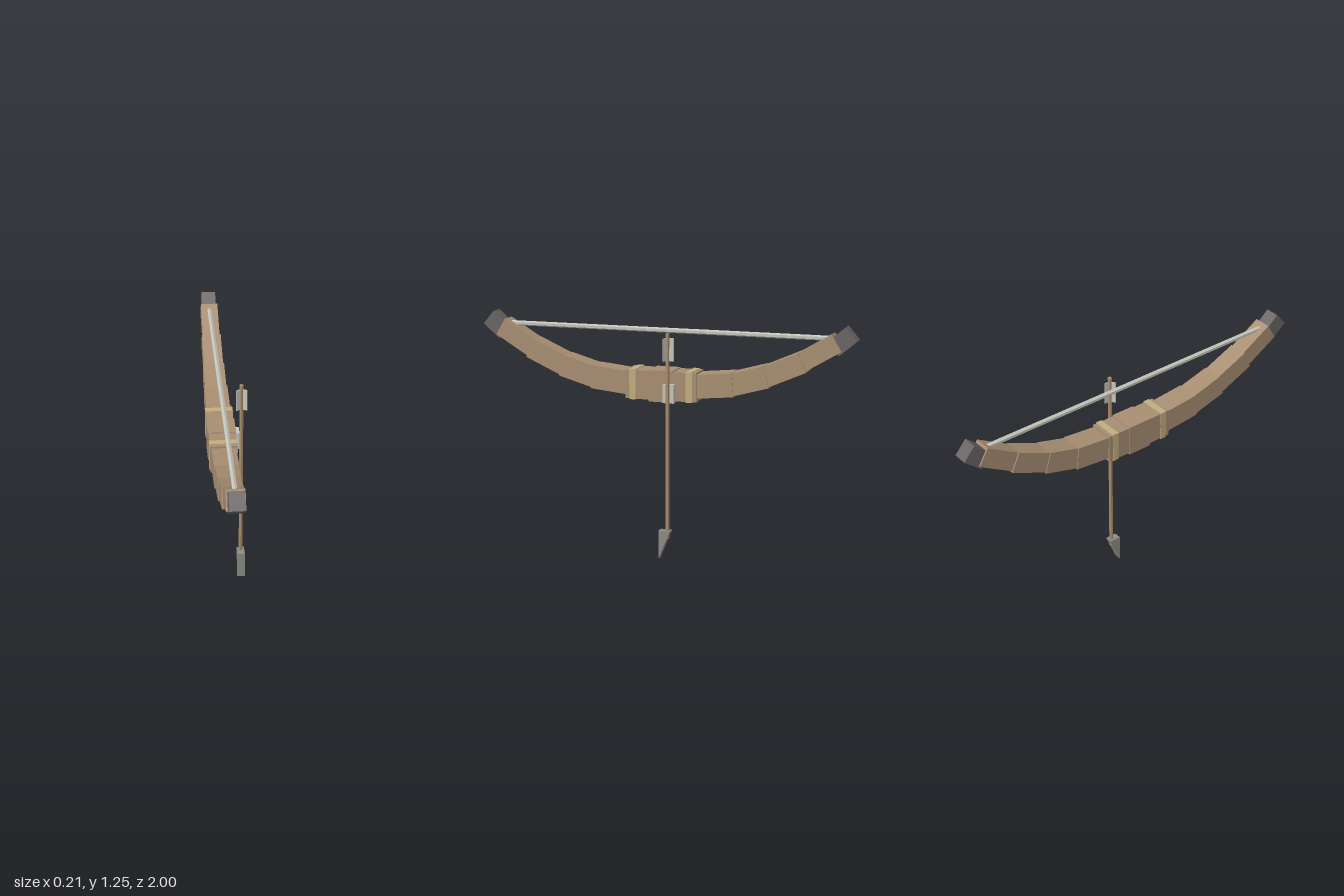
import * as THREE from 'three';

const flat = (name, color) => {
  const m = new THREE.MeshStandardMaterial({ color });
  m.name = name;
  m.flatShading = true;
  return m;
};

export function createModel() {
  const wood = flat('wood', 0xa88e72);
  const shaftWood = flat('shaft wood', 0xa68a68);
  const binding = flat('binding', 0xc0ae7e);
  const horn = flat('dark horn', 0x686463);
  const pale = flat('pale grey', 0xc4c5bb);
  const steel = flat('steel', 0x8b8a84);

  const model = new THREE.Group();
  model.name = 'bowAndArrow';
  const add = (parent, name, geometry, material, x = 0, y = 0, z = 0) => {
    const mesh = new THREE.Mesh(geometry, material);
    mesh.name = name;
    mesh.position.set(x, y, z);
    parent.add(mesh);
    return mesh;
  };
  const box = (w, h, d) => new THREE.BoxGeometry(w, h, d);

  // Bow, lying along z
  const bow = new THREE.Group();
  bow.name = 'bow';
  bow.position.x = -0.034;
  model.add(bow);
  add(bow, 'grip', box(0.142, 0.163, 0.13), wood, 0, 0.904, 0);

  // Each limb block runs between two points [z, y] of the bow's curve
  const blocks = [
    ['gripEnd', [0, 0.904], [0.19, 0.908], 0.15, 0.134, wood],
    ['limbInner', [0.15, 0.908], [0.378, 0.931], 0.122, 0.122, wood],
    ['limbMiddle', [0.37, 0.93], [0.55, 0.981], 0.114, 0.112, wood],
    ['limbOuter', [0.54, 0.978], [0.732, 1.063], 0.106, 0.102, wood],
    ['limbEnd', [0.72, 1.06], [0.9, 1.168], 0.098, 0.09, wood],
    ['limbTip', [0.883, 1.138], [0.971, 1.214], 0.09, 0.075, horn],
  ];
  for (const side of [1, -1]) {
    for (const [name, [z0, y0], [z1, y1], thick, width, material] of blocks) {
      const length = Math.hypot(z1 - z0, y1 - y0);
      const block = add(bow, name, box(width, thick, length), material,
        0, (y0 + y1) / 2, side * (z0 + z1) / 2);
      block.rotation.x = -side * Math.atan2(y1 - y0, z1 - z0);
    }
    add(bow, 'gripBand', box(0.141, 0.158, 0.034), binding, 0, 0.907, side * 0.152);
  }

  // Bowstring
  const string = add(bow, 'string', new THREE.CylinderGeometry(0.013, 0.013, 1.74, 6), pale, 0, 1.185, 0);
  string.rotation.x = Math.PI / 2;

  // Arrow rest on the side of the grip
  add(model, 'arrowRest', box(0.032, 0.096, 0.06), pale, 0.046, 0.872, -0.049);

  // Arrow, pointing down
  const arrow = new THREE.Group();
  arrow.name = 'arrow';
  arrow.position.set(0.073, 0, -0.051);
  model.add(arrow);
  add(arrow, 'shaft', new THREE.CylinderGeometry(0.011, 0.011, 1.075, 6), shaftWood, 0, 0.648, 0);

  // Three vanes around the shaft
  for (let i = 0; i < 3; i++) {
    const angle = Math.PI + i * Math.PI * 2 / 3;
    const vane = add(arrow, 'vane', box(0.005, 0.118, 0.032), pale,
      Math.sin(angle) * 0.016, 1.104, Math.cos(angle) * 0.016);
    vane.rotation.y = angle;
  }

  // Wedge head, with its upright face to the front
  const wedge = new THREE.Shape([
    new THREE.Vector2(-0.043, 0),
    new THREE.Vector2(-0.043, 0.153),
    new THREE.Vector2(0.019, 0.153),
  ]);
  const headGeometry = new THREE.ExtrudeGeometry(wedge, { depth: 0.041, bevelEnabled: false });
  headGeometry.translate(0, 0, -0.0205);
  headGeometry.rotateY(Math.PI / 2);
  add(arrow, 'arrowHead', headGeometry, steel);

  return model;
}
